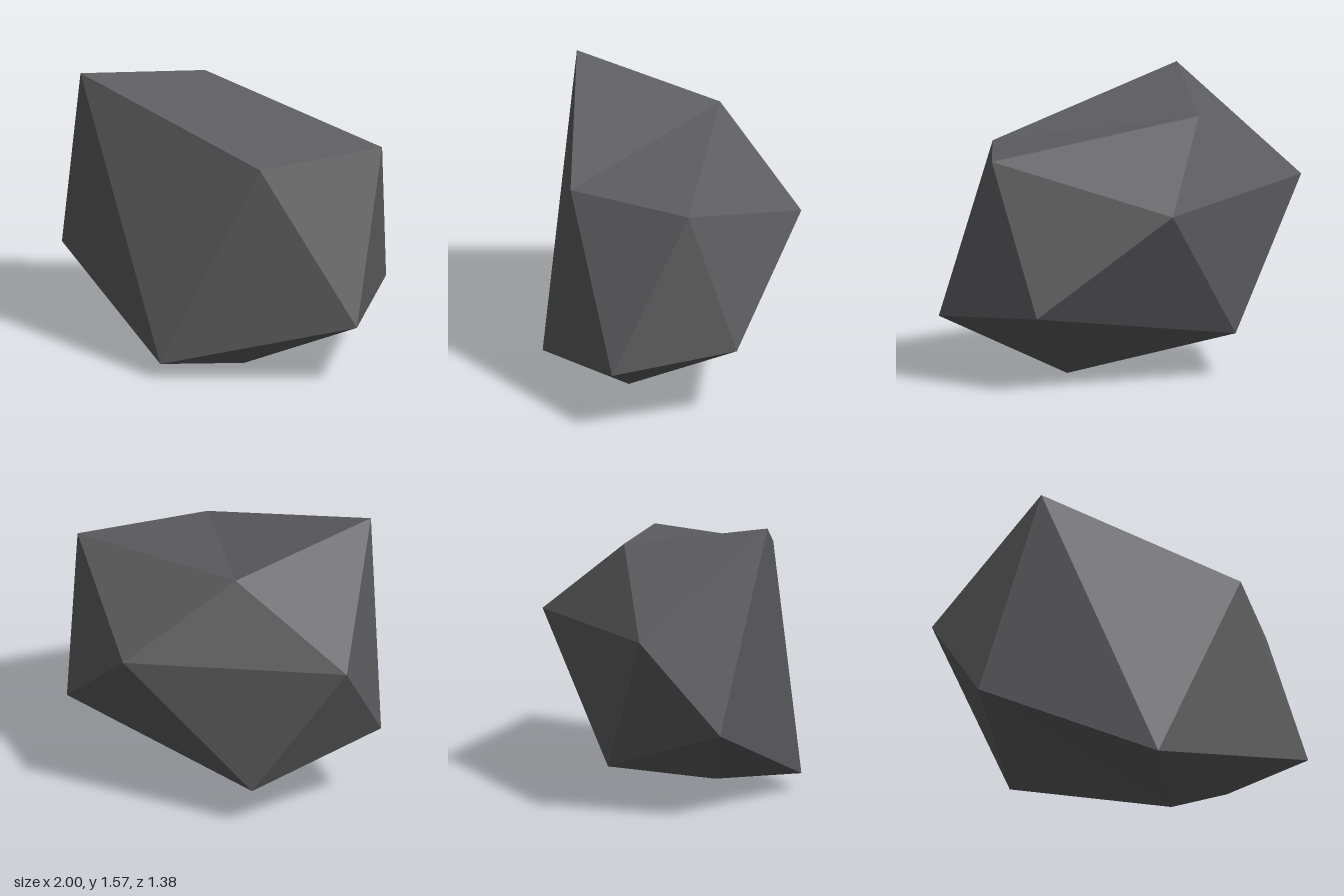
import * as THREE from 'three';

// Faceted boulder: a skewed icosahedron made of two poles and two staggered rings of five
export function createModel() {
  const group = new THREE.Group();
  group.name = 'rock';

  const stone = new THREE.MeshStandardMaterial({ color: 0x5e5e60, flatShading: true });
  stone.name = 'dark grey stone';

  const crown = [-0.33, 1.41, -0.215];
  const base = [0.25, 0, 0.205];
  // Rings run counterclockwise seen from above, starting at the front
  const upper = [[-0.56, 1.57, 0.58], [0.56, 1.235, 0.48], [0.87, 1.24, -0.19], [0.04, 0.96, -0.695], [-1, 1.03, -0.055]];
  const lower = [[0.055, 0.09, 0.69], [1, 0.36, 0.205], [0.715, 0.415, -0.43], [-0.515, 0.235, -0.28], [-0.85, 0.495, 0.36]];

  const positions = [];
  const face = (...corners) => corners.forEach((c) => positions.push(...c));
  for (let i = 0; i < 5; i++) {
    const j = (i + 1) % 5;
    face(crown, upper[i], upper[j]); // top cap
    face(upper[i], lower[i], upper[j]); // side facets
    face(lower[i], lower[j], upper[j]);
    face(base, lower[j], lower[i]); // underside
  }

  const geometry = new THREE.BufferGeometry();
  geometry.setAttribute('position', new THREE.Float32BufferAttribute(positions, 3));
  geometry.computeVertexNormals();

  const boulder = new THREE.Mesh(geometry, stone);
  boulder.name = 'boulder';
  group.add(boulder);
  return group;
}
